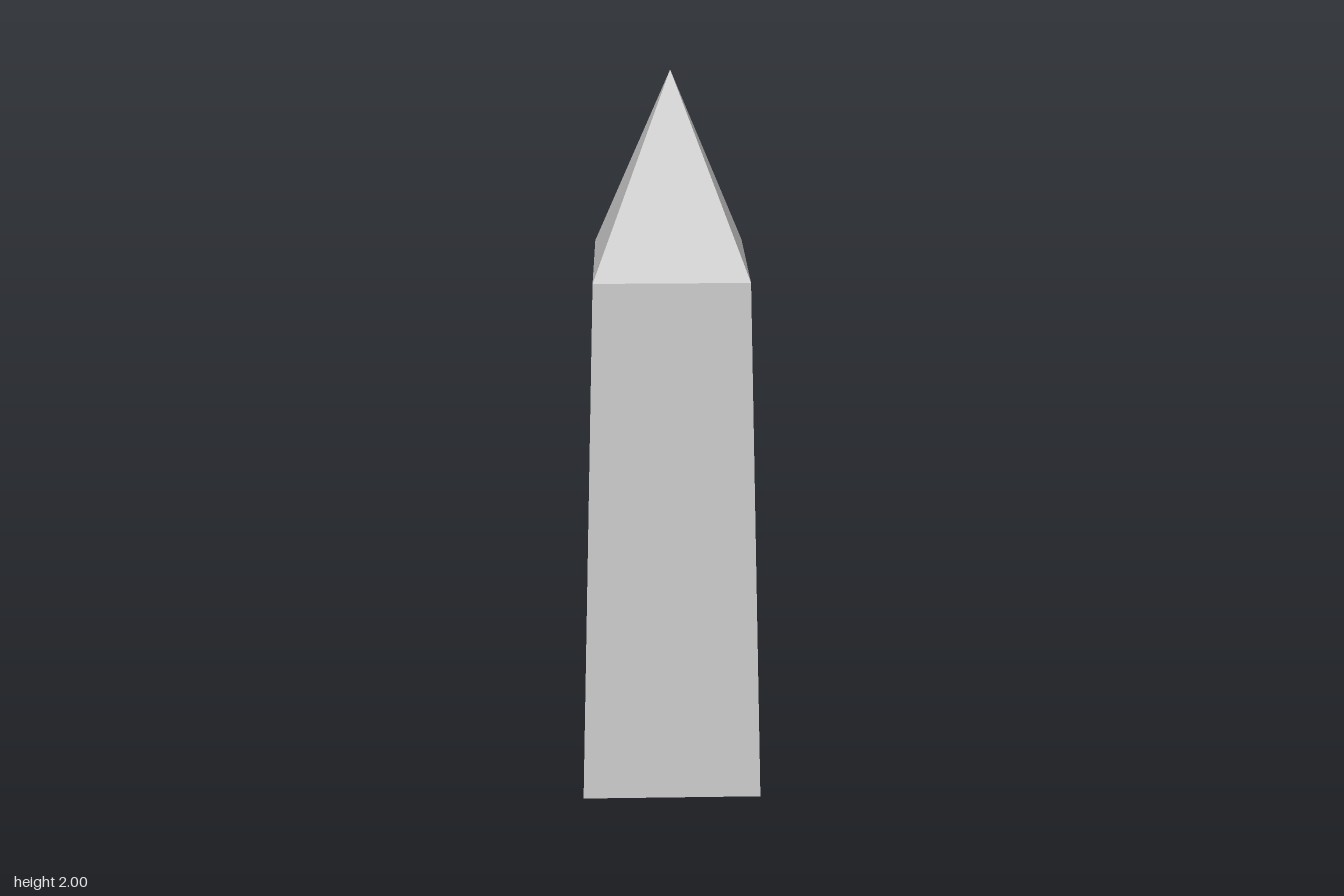
import * as THREE from 'three';

const BASE_HALF = 0.25;     // half width at the ground
const SHOULDER_HALF = 0.2;  // half width where the point begins
const SHOULDER_Y = 1.5;
const TIP_Y = 2;

export function createModel() {
  const group = new THREE.Group();
  group.name = 'obelisk';
  const material = new THREE.MeshStandardMaterial({ color: 0xcccccc, flatShading: true });

  const add = (name, geometry) => {
    const mesh = new THREE.Mesh(geometry, material);
    mesh.name = name;
    group.add(mesh);
  };

  // Open four-sided section between two heights, its sides square to the axes
  const squareSection = (bottomHalf, topHalf, y0, y1) =>
    new THREE.CylinderGeometry(topHalf * Math.SQRT2, bottomHalf * Math.SQRT2, y1 - y0, 4, 1, true)
      .rotateY(Math.PI / 4)
      .translate(0, (y0 + y1) / 2, 0);

  // Tapered shaft
  add('shaft', squareSection(BASE_HALF, SHOULDER_HALF, 0, SHOULDER_Y));

  // Pyramid point
  add('pyramidTip', squareSection(SHOULDER_HALF, 0, SHOULDER_Y, TIP_Y));

  // Underside, facing down
  add('underside', new THREE.PlaneGeometry(2 * BASE_HALF, 2 * BASE_HALF).rotateX(Math.PI / 2));

  return group;
}
